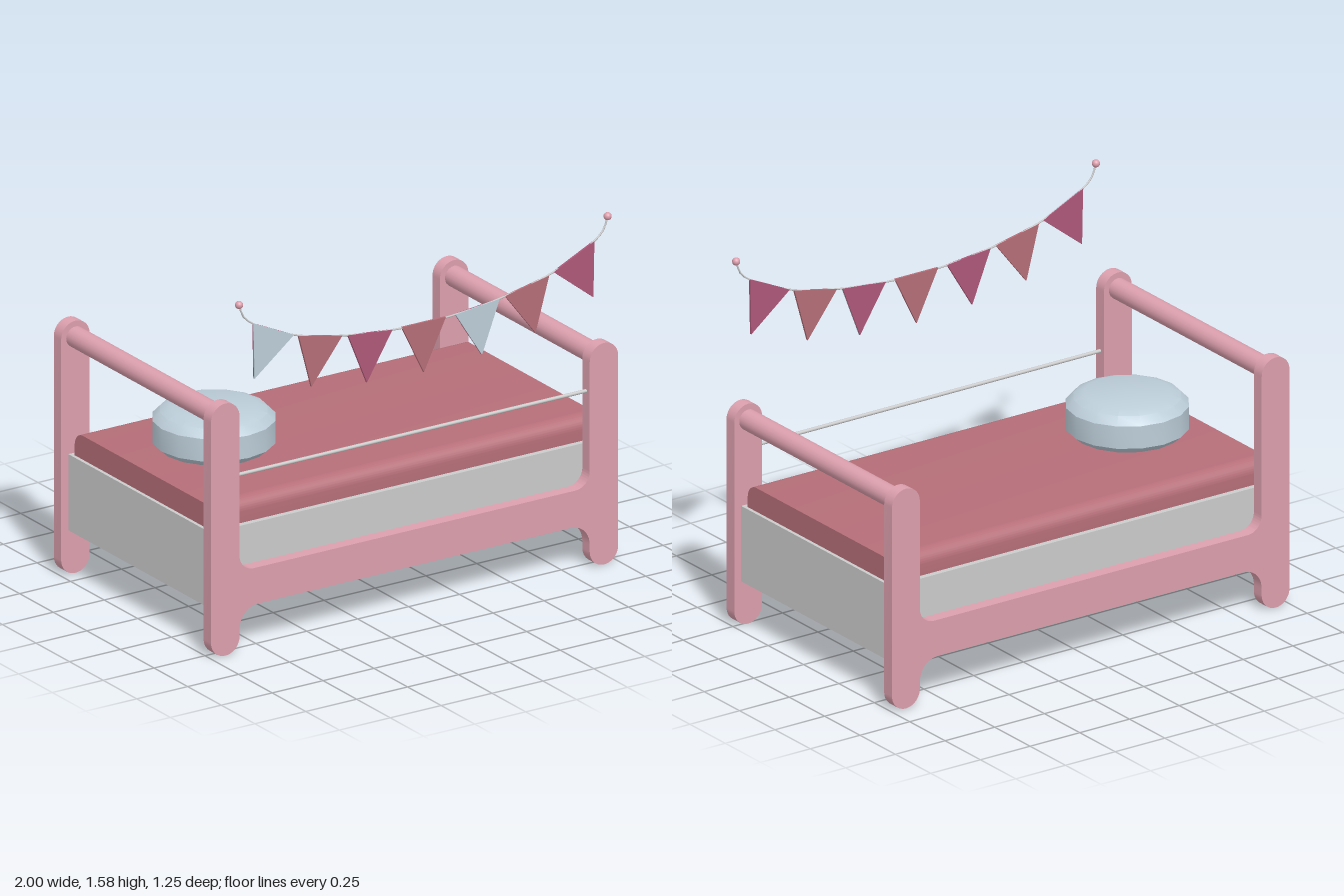
import * as THREE from 'three';
import { toCreasedNormals } from 'three/addons/utils/BufferGeometryUtils.js';

const paint = (color) => new THREE.MeshStandardMaterial({ color });

export function createModel() {
  const group = new THREE.Group();
  const pink = paint(0xdc9fad);
  const rose = paint(0xb56e78);
  const blue = paint(0xbccdd8);
  const magenta = paint(0xad5878);
  const grey = paint(0xcccccc);

  function add(name, geometry, material, x = 0, y = 0, z = 0) {
    const mesh = new THREE.Mesh(geometry, material);
    mesh.name = name;
    mesh.position.set(x, y, z);
    group.add(mesh);
    return mesh;
  }
  const extrude = (shape, depth) => toCreasedNormals(
    new THREE.ExtrudeGeometry(shape, { depth, bevelEnabled: false, curveSegments: 10 }), 0.6);

  // Side frames: two round-ended posts joined by a filleted rail
  const r = 0.07, headTop = 1.11, footTop = 0.975;
  const frame = new THREE.Shape();
  frame.moveTo(-1, r);
  frame.absarc(-0.93, r, r, Math.PI, Math.PI * 2, false);
  frame.lineTo(-0.86, 0.1);
  frame.bezierCurveTo(-0.86, 0.155, -0.82, 0.195, -0.765, 0.195);
  frame.lineTo(0.765, 0.195);
  frame.bezierCurveTo(0.82, 0.195, 0.86, 0.155, 0.86, 0.1);
  frame.lineTo(0.86, r);
  frame.absarc(0.93, r, r, Math.PI, Math.PI * 2, false);
  frame.lineTo(1, footTop - r);
  frame.absarc(0.93, footTop - r, r, 0, Math.PI, false);
  frame.lineTo(0.86, 0.425);
  frame.absarc(0.79, 0.425, r, 0, -Math.PI / 2, true);
  frame.lineTo(-0.79, 0.355);
  frame.absarc(-0.79, 0.425, r, -Math.PI / 2, -Math.PI, true);
  frame.lineTo(-0.86, headTop - r);
  frame.absarc(-0.93, headTop - r, r, 0, Math.PI, false);
  frame.closePath();
  const frameGeometry = extrude(frame, 0.055);
  add('frontFrame', frameGeometry, pink, 0, 0, 0.49);
  add('backFrame', frameGeometry, pink, 0, 0, -0.625);

  // Round bars across the head and foot
  const bar = new THREE.CylinderGeometry(0.045, 0.045, 1.06, 20).rotateX(Math.PI / 2);
  add('headBar', bar, pink, -0.93, headTop - r, -0.04);
  add('footBar', bar, pink, 0.93, footTop - r, -0.04);

  // Thin guard rod between the front posts
  add('guardRod', new THREE.CylinderGeometry(0.008, 0.008, 1.74, 10).rotateZ(Math.PI / 2),
    grey, 0, 0.77, 0.517);

  // Base box
  add('base', new THREE.BoxGeometry(1.93, 0.335, 1.06), grey, 0, 0.3625, -0.04);

  // Mattress: profile with rounded upper edges, extruded along x
  const half = 0.505, h = 0.105, bend = 0.06;
  const profile = new THREE.Shape();
  profile.moveTo(-half, 0);
  profile.lineTo(half, 0);
  profile.lineTo(half, h - bend);
  profile.absarc(half - bend, h - bend, bend, 0, Math.PI / 2, false);
  profile.lineTo(-half + bend, h);
  profile.absarc(-half + bend, h - bend, bend, Math.PI / 2, Math.PI, false);
  profile.closePath();
  add('mattress', extrude(profile, 1.9).rotateY(-Math.PI / 2).translate(0.95, 0, 0),
    rose, 0, 0.53, -0.04);

  // Round pillow
  const pillow = [[0, 0], [0.18, 0], [0.225, 0.017], [0.257, 0.046], [0.257, 0.145],
    [0.225, 0.178], [0.18, 0.195], [0, 0.195]].map(([x, y]) => new THREE.Vector2(x, y));
  add('pillow', toCreasedNormals(new THREE.LatheGeometry(pillow, 16), 0.45),
    blue, -0.6, 0.645, -0.04);

  // Bunting string with a ball at each end
  const z = 0.61;
  const halfString = [[0.905, 1.56], [0.885, 1.505], [0.835, 1.462], [0.635, 1.37],
    [0.395, 1.315], [0.155, 1.288]];
  const points = [
    ...halfString.map(([x, y]) => new THREE.Vector3(-x, y, z)),
    new THREE.Vector3(0, 1.284, z),
    ...halfString.slice().reverse().map(([x, y]) => new THREE.Vector3(x, y, z)),
  ];
  add('buntingString', new THREE.TubeGeometry(new THREE.CatmullRomCurve3(points), 64, 0.004, 6),
    grey);
  for (const side of [-1, 1]) {
    add('buntingBall', new THREE.SphereGeometry(0.017, 16, 12), pink, side * 0.905, 1.56, z);
  }

  // Flags: two thin layers each; the blue ones are backed in magenta
  const flags = [
    [[0, 1.07], [0.108, 1.29], [-0.108, 1.29], rose, rose],
    [[-0.28, 1.085], [-0.155, 1.29], [-0.372, 1.312], magenta, magenta],
    [[0.285, 1.085], [0.372, 1.312], [0.155, 1.29], blue, magenta],
    [[-0.552, 1.125], [-0.4, 1.318], [-0.615, 1.362], rose, rose],
    [[0.548, 1.125], [0.615, 1.362], [0.4, 1.318], rose, rose],
    [[-0.832, 1.22], [-0.638, 1.372], [-0.837, 1.465], blue, magenta],
    [[0.832, 1.22], [0.837, 1.465], [0.638, 1.372], magenta, magenta],
  ];
  for (const [a, b, c, front, back] of flags) {
    const shape = new THREE.Shape([a, b, c].map(([x, y]) => new THREE.Vector2(x, y)));
    const layer = new THREE.ExtrudeGeometry(shape, { depth: 0.005, bevelEnabled: false });
    add('flagFront', layer, front, 0, 0, z);
    add('flagBack', layer, back, 0, 0, z - 0.005);
  }

  return group;
}
